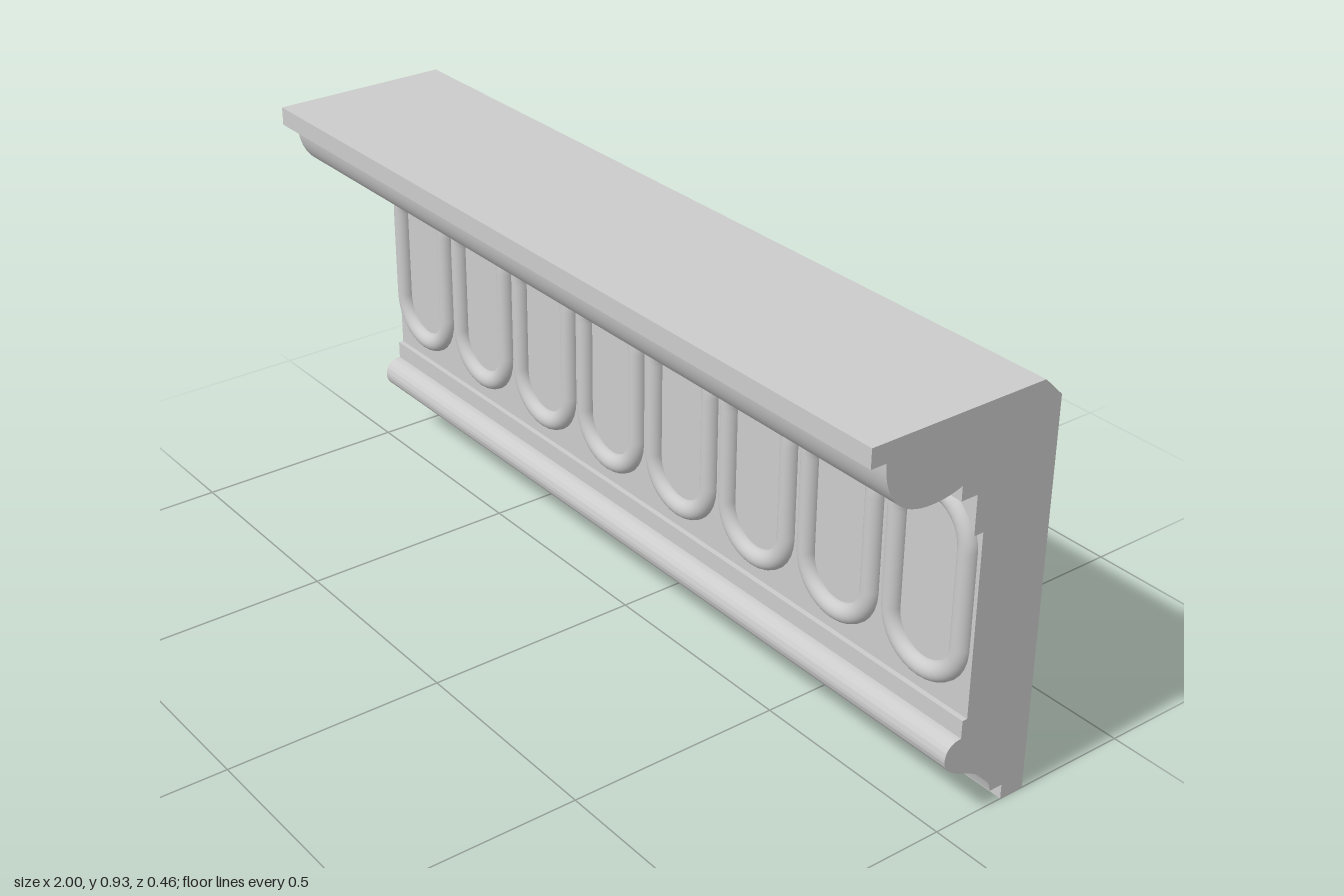
import * as THREE from 'three';
import { toCreasedNormals } from 'three/addons/utils/BufferGeometryUtils.js';
import { ParametricGeometry } from 'three/addons/geometries/ParametricGeometry.js';

const LENGTH = 2, COUNT = 8, PITCH = LENGTH / COUNT;
const FIELD_Z = -0.058;                 // face of the flat field behind the ovals
const ARC_TOP = 0.605, ARC_BOTTOM = 0.39; // centres of the oval's round ends

const material = new THREE.MeshStandardMaterial({ color: 0xcccccc });

function addMesh(parent, name, geometry) {
  const mesh = new THREE.Mesh(geometry, material);
  mesh.name = name;
  parent.add(mesh);
  return mesh;
}

// Moulding section, drawn as (z, y) and run along x
function mouldingGeometry() {
  const s = new THREE.Shape();
  s.moveTo(-0.232, 0);
  s.lineTo(-0.172, 0);
  s.lineTo(-0.172, 0.034);
  s.lineTo(-0.14, 0.034);
  // lower cyma and rounded nose
  s.bezierCurveTo(-0.13, 0.08, -0.1, 0.095, -0.058, 0.113);
  s.bezierCurveTo(-0.03, 0.125, -0.006, 0.14, -0.006, 0.163);
  s.bezierCurveTo(-0.006, 0.188, -0.022, 0.201, -0.046, 0.201);
  s.lineTo(-0.046, 0.242);
  s.lineTo(FIELD_Z, 0.242);
  // flat field, fillet and upper ovolo
  s.lineTo(FIELD_Z, 0.743);
  s.lineTo(0.005, 0.743);
  s.lineTo(0.005, 0.775);
  s.bezierCurveTo(0.03, 0.767, 0.05, 0.763, 0.078, 0.763);
  s.bezierCurveTo(0.155, 0.763, 0.196, 0.81, 0.196, 0.886);
  s.lineTo(0.232, 0.886);
  s.lineTo(0.232, 0.928);
  // chamfered back edge
  s.lineTo(-0.187, 0.928);
  s.lineTo(-0.232, 0.884);
  s.closePath();
  const g = new THREE.ExtrudeGeometry(s, { depth: LENGTH, bevelEnabled: false, curveSegments: 16 });
  g.rotateY(-Math.PI / 2);
  g.translate(LENGTH / 2, 0, 0);
  return toCreasedNormals(g, 0.5);
}

// Raised band whose lower edge is cut into arches
function arcadeGeometry() {
  const r = 0.135, half = PITCH / 2;
  const start = Math.acos(half / r);
  const cuspY = ARC_TOP + r * Math.sin(start);
  const s = new THREE.Shape();
  s.moveTo(LENGTH / 2, 0.743);
  s.lineTo(-LENGTH / 2, 0.743);
  s.lineTo(-LENGTH / 2, cuspY);
  for (let i = 0; i < COUNT; i++) {
    const x = -LENGTH / 2 + (i + 0.5) * PITCH;
    s.absarc(x, ARC_TOP, r, Math.PI - start, start, true);
  }
  s.closePath();
  const g = new THREE.ExtrudeGeometry(s, { depth: 0.023, bevelEnabled: false, curveSegments: 20 });
  g.translate(0, 0, FIELD_Z);
  return toCreasedNormals(g, 0.5);
}

// Half-round bead swept around an upright oval with straight sides
function ovalGeometry() {
  const R = 0.094, r = 0.022, arc = 16, steps = 2 * arc + 2;
  const sweep = (u, v, target) => {
    const k = u * steps;
    let angle, y;
    if (k <= arc) {                     // top end
      angle = (k / arc) * Math.PI; y = ARC_TOP;
    } else if (k <= arc + 1) {          // side at -x
      angle = Math.PI; y = THREE.MathUtils.lerp(ARC_TOP, ARC_BOTTOM, k - arc);
    } else if (k <= 2 * arc + 1) {      // bottom end
      angle = Math.PI * (1 + (k - arc - 1) / arc); y = ARC_BOTTOM;
    } else {                            // side at +x
      angle = 2 * Math.PI; y = THREE.MathUtils.lerp(ARC_BOTTOM, ARC_TOP, k - 2 * arc - 1);
    }
    const t = v * Math.PI, d = R + r * Math.cos(t);
    target.set(d * Math.cos(angle), y + d * Math.sin(angle), FIELD_Z + r * Math.sin(t));
  };
  return new ParametricGeometry(sweep, steps, 12);
}

export function createModel() {
  const model = new THREE.Group();
  model.name = 'corniceMoulding';
  addMesh(model, 'mouldingBody', mouldingGeometry());
  addMesh(model, 'archedBand', arcadeGeometry());

  // Row of oval beads
  const row = new THREE.Group();
  row.name = 'ovalRow';
  const oval = ovalGeometry();
  for (let i = 0; i < COUNT; i++) {
    addMesh(row, `ovalBead${i + 1}`, oval).position.x = -LENGTH / 2 + (i + 0.5) * PITCH;
  }
  model.add(row);
  return model;
}
